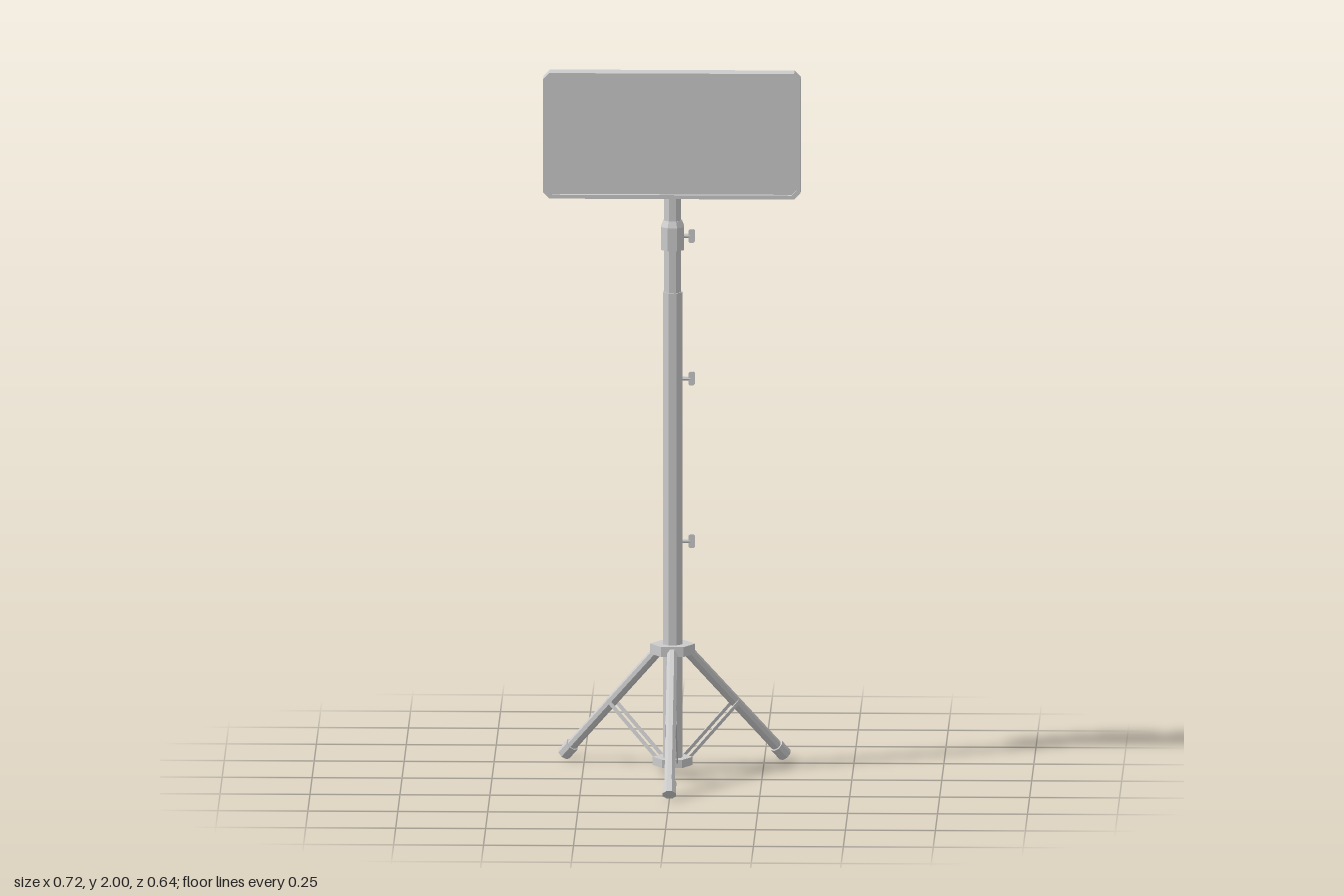
import * as THREE from 'three';

const material = new THREE.MeshStandardMaterial({ color: 0xcccccc, flatShading: true });
const POLE_Z = -0.08;

function add(parent, name, geometry) {
  const mesh = new THREE.Mesh(geometry, material);
  mesh.name = name;
  parent.add(mesh);
  return mesh;
}

// Upright prism between two heights; radii are measured to the flats
function prism(parent, name, y0, y1, rBottom, rTop = rBottom, sides = 8) {
  const k = 1 / Math.cos(Math.PI / sides);
  const g = new THREE.CylinderGeometry(rTop * k, rBottom * k, y1 - y0, sides);
  g.rotateY(Math.PI / sides);
  g.translate(0, (y0 + y1) / 2, 0);
  return add(parent, name, g);
}

// Places a geometry that runs along y between two points
function span(parent, name, a, b, makeGeometry) {
  const dir = b.clone().sub(a);
  const mesh = add(parent, name, makeGeometry(dir.length()));
  mesh.position.copy(a).addScaledVector(dir, 0.5);
  mesh.quaternion.setFromUnitVectors(new THREE.Vector3(0, 1, 0), dir.normalize());
  return mesh;
}

// Rectangle with cut corners
function cutRect(Type, hw, hh, c) {
  return new Type([
    [-hw + c, -hh], [hw - c, -hh], [hw, -hh + c], [hw, hh - c],
    [hw - c, hh], [-hw + c, hh], [-hw, hh - c], [-hw, -hh + c],
  ].map(([x, y]) => new THREE.Vector2(x, y)));
}

function makeLeg(angle) {
  const leg = new THREE.Group();
  leg.name = 'leg';
  const top = new THREE.Vector3(0, 0.357, 0.04);
  const end = new THREE.Vector3(0, 0.0145, 0.382);
  const ankle = end.clone().lerp(top, 0.085);
  const tube = (r) => (len) => new THREE.CylinderGeometry(r, r, len, 8).rotateY(Math.PI / 8);
  span(leg, 'legTube', top, ankle, tube(0.0155));
  span(leg, 'foot', ankle, end, tube(0.02));
  // Twin flat braces flank the leg
  for (const x of [-0.0145, 0.0145]) {
    span(leg, 'brace', new THREE.Vector3(x, 0.04, 0.04), new THREE.Vector3(x, 0.187, 0.218),
      (len) => new THREE.BoxGeometry(0.004, len, 0.01));
  }
  leg.rotation.y = angle;
  return leg;
}

function makeKnob(y, r) {
  const knob = new THREE.Group();
  knob.name = 'clampKnob';
  const stem = new THREE.CylinderGeometry(0.006, 0.006, 0.05 - r + 0.005, 8).rotateZ(Math.PI / 2);
  add(knob, 'knobStem', stem).position.x = (r + 0.045) / 2;
  // Thin wing with cut corners
  const wing = new THREE.ExtrudeGeometry(cutRect(THREE.Shape, 0.009, 0.019, 0.004),
    { depth: 0.01, bevelEnabled: false });
  add(knob, 'knobWing', wing).position.set(0.053, 0, -0.005);
  knob.position.y = y;
  return knob;
}

export function createModel() {
  const model = new THREE.Group();
  model.name = 'screenOnTripod';

  // Telescoping pole with hubs
  const stand = new THREE.Group();
  stand.name = 'stand';
  stand.position.z = POLE_Z;
  model.add(stand);
  prism(stand, 'lowerPole', 0.027, 1.365, 0.027);
  prism(stand, 'upperPole', 1.36, 1.84, 0.0235);
  prism(stand, 'collar', 1.485, 1.55, 0.032);
  prism(stand, 'collarTaper', 1.55, 1.568, 0.032, 0.025);
  prism(stand, 'sleeve', 1.65, 1.735, 0.028);
  prism(stand, 'sleeveTaper', 1.735, 1.745, 0.028, 0.025);
  prism(stand, 'upperHub', 0.342, 0.37, 0.054, 0.054, 6);
  prism(stand, 'lowerHub', 0.027, 0.05, 0.048, 0.048, 6);
  for (const hub of ['upperHub', 'lowerHub']) stand.getObjectByName(hub).rotation.y = 0;

  for (const [y, r] of [[0.66, 0.025], [1.12, 0.025], [1.523, 0.03]]) stand.add(makeKnob(y, r));

  // One leg to the front, two splayed to the back
  const splay = THREE.MathUtils.degToRad(126.5);
  for (const a of [0, splay, -splay]) stand.add(makeLeg(a));

  // Screen: shallow housing with a raised rim
  const screen = new THREE.Group();
  screen.name = 'screen';
  screen.position.y = 1.8225;
  model.add(screen);
  const outline = () => cutRect(THREE.Shape, 0.358, 0.1775, 0.018);
  const flat = (depth) => ({ depth, bevelEnabled: false });
  add(screen, 'housing', new THREE.ExtrudeGeometry(outline(), flat(0.04))).position.z = -0.037;
  const rim = outline();
  rim.holes.push(cutRect(THREE.Path, 0.347, 0.1665, 0.014));
  add(screen, 'rim', new THREE.ExtrudeGeometry(rim, flat(0.014))).position.z = 0.003;

  // Mounting plate behind the screen
  add(screen, 'mountPlate', new THREE.BoxGeometry(0.294, 0.146, 0.02)).position.set(0, 0.005, -0.046);

  return model;
}
